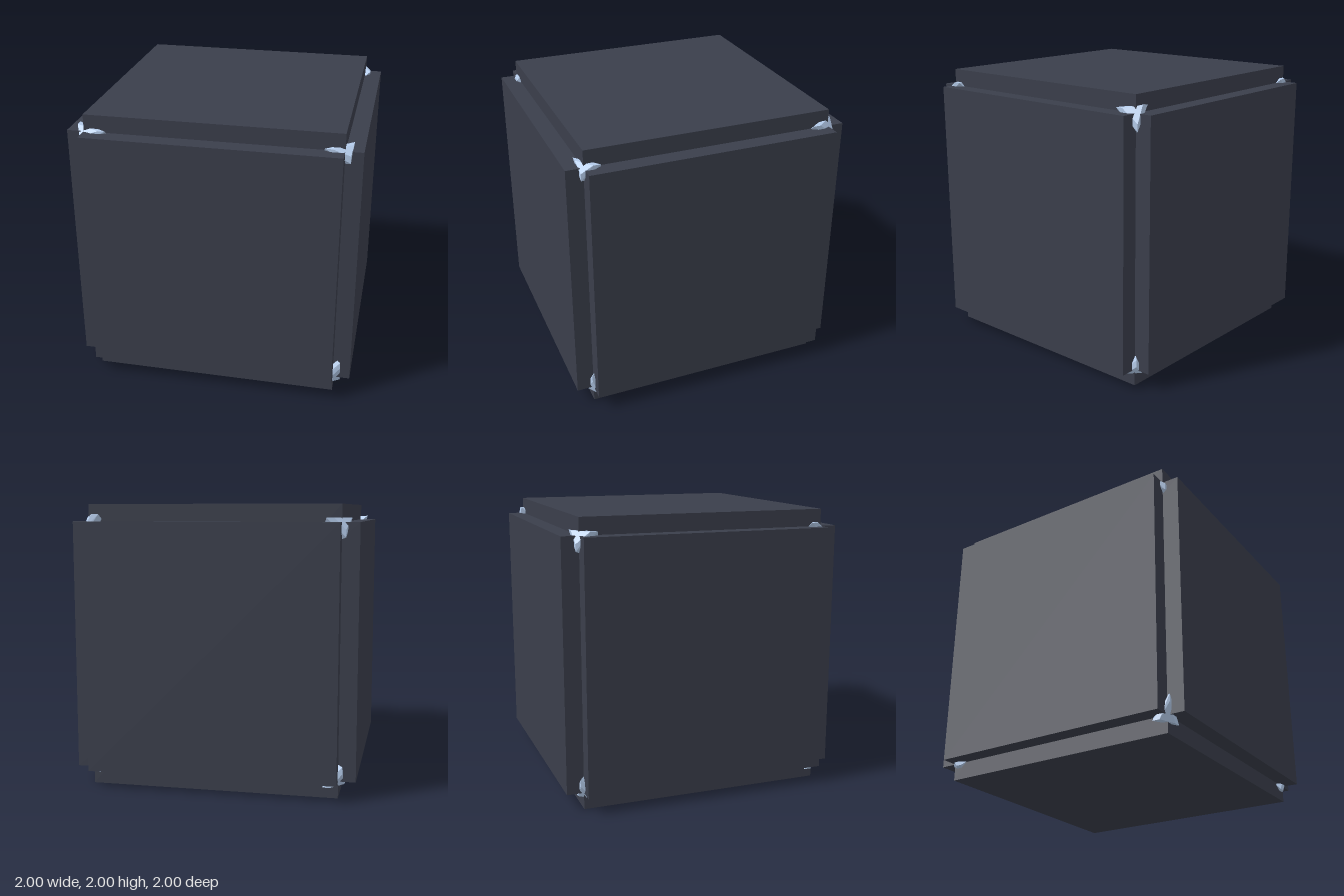
import * as THREE from 'three';
import { ConvexGeometry } from 'three/addons/geometries/ConvexGeometry.js';

const FULL = 2, INNER = 1.76;

// Per corner: direction signs, then the three tips poking out along the x, y and z grooves
const SHARDS = [
  [[1, 1, 1], [0.75, 0.90, 0.91], [0.92, 0.81, 0.91], [0.93, 0.91, 0.78]],
  [[-1, 1, 1], [0.72, 0.90, 0.91], [0.90, 0.80, 0.91], [0.94, 0.91, 0.78]],
  [[1, -1, 1], [0.77, 0.93, 0.91], [0.93, 0.74, 0.90], [0.93, 0.92, 0.80]],
  [[-1, -1, 1], [0.79, 0.93, 0.91], [0.90, 0.75, 0.91], [0.93, 0.92, 0.80]],
  [[1, 1, -1], [0.80, 0.93, 0.91], [0.91, 0.77, 0.92], [0.92, 0.91, 0.75]],
  [[-1, 1, -1], [0.78, 0.91, 0.92], [0.91, 0.78, 0.91], [0.94, 0.91, 0.77]],
  [[1, -1, -1], [0.80, 0.91, 0.91], [0.91, 0.79, 0.92], [0.91, 0.92, 0.77]],
  [[-1, -1, -1], [0.78, 0.92, 0.91], [0.91, 0.77, 0.91], [0.92, 0.91, 0.78]],
];

function shardGeometry([signs, ...tips]) {
  const s = new THREE.Vector3(...signs);
  const points = [new THREE.Vector3(0.7, 0.7, 0.7).multiply(s)];
  tips.forEach((tip, axis) => {
    const p = new THREE.Vector3(...tip);
    const blunt = p.clone(); // second point gives each tip a blunt end
    blunt.setComponent(axis, tip[axis] + 0.05);
    points.push(p.multiply(s), blunt.multiply(s));
  });
  return new ConvexGeometry(points);
}

export function createModel() {
  const model = new THREE.Group();
  model.name = 'crate';
  const dark = new THREE.MeshStandardMaterial({ color: 0x3a3e4b });
  const pale = new THREE.MeshStandardMaterial({ color: 0xb4cbea, flatShading: true });

  // Three crossing blocks form a cube with a square groove along every edge
  ['sideBlock', 'uprightBlock', 'frontBlock'].forEach((name, axis) => {
    const size = [INNER, INNER, INNER];
    size[axis] = FULL;
    const block = new THREE.Mesh(new THREE.BoxGeometry(...size), dark);
    block.name = name;
    block.position.y = 1;
    model.add(block);
  });

  // Crystal shards peeking out of the grooves at the eight corners
  const shards = new THREE.Group();
  shards.name = 'cornerShards';
  shards.position.y = 1;
  for (const row of SHARDS) {
    const shard = new THREE.Mesh(shardGeometry(row), pale);
    shard.name = 'cornerShard';
    shards.add(shard);
  }
  model.add(shards);
  return model;
}
